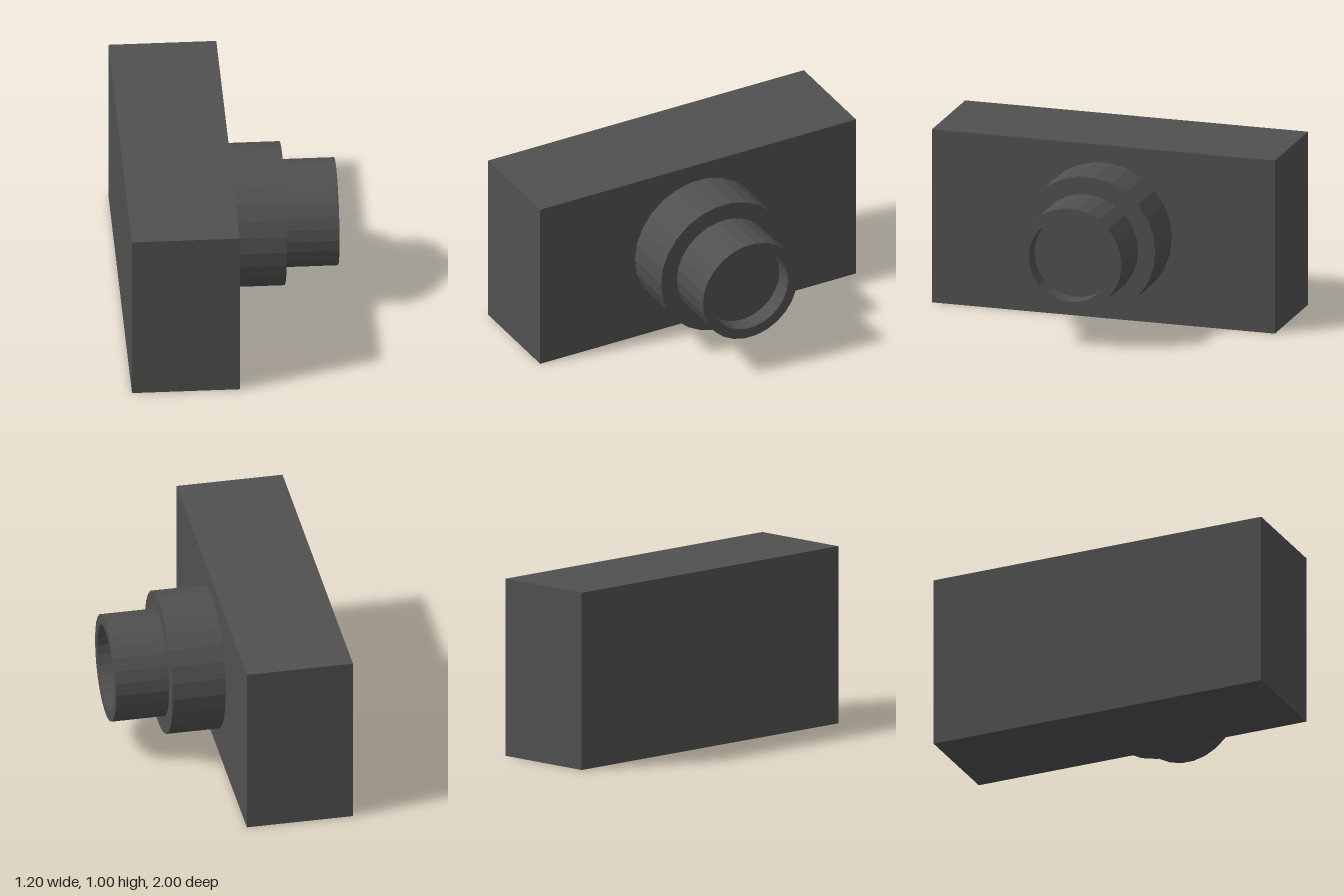
import * as THREE from 'three';

const SIDES = 26;

export function createModel() {
  const model = new THREE.Group();
  const material = new THREE.MeshStandardMaterial({ color: 0x505050, flatShading: true });

  // Turned part whose axis points along +x; profile points are [radius, x]
  function turned(name, profile) {
    const points = profile.map(([r, x]) => new THREE.Vector2(r, x));
    const mesh = new THREE.Mesh(new THREE.LatheGeometry(points, SIDES), material);
    mesh.name = name;
    mesh.rotation.z = -Math.PI / 2;
    mesh.position.y = 0.5;
    model.add(mesh);
  }

  // Camera body
  const body = new THREE.Mesh(new THREE.BoxGeometry(0.6, 1, 2), material);
  body.name = 'body';
  body.position.set(-0.3, 0.5, 0);
  model.add(body);

  // Wide lens ring against the body
  turned('lensBase', [[0.4, 0], [0.4, 0.3], [0.3, 0.3]]);

  // Narrow barrel with a rim and a recessed glass
  turned('lensBarrel', [[0.3, 0.3], [0.3, 0.6], [0.24, 0.6], [0.24, 0.5]]);
  turned('lensGlass', [[0.24, 0.5], [0, 0.5]]);

  return model;
}
